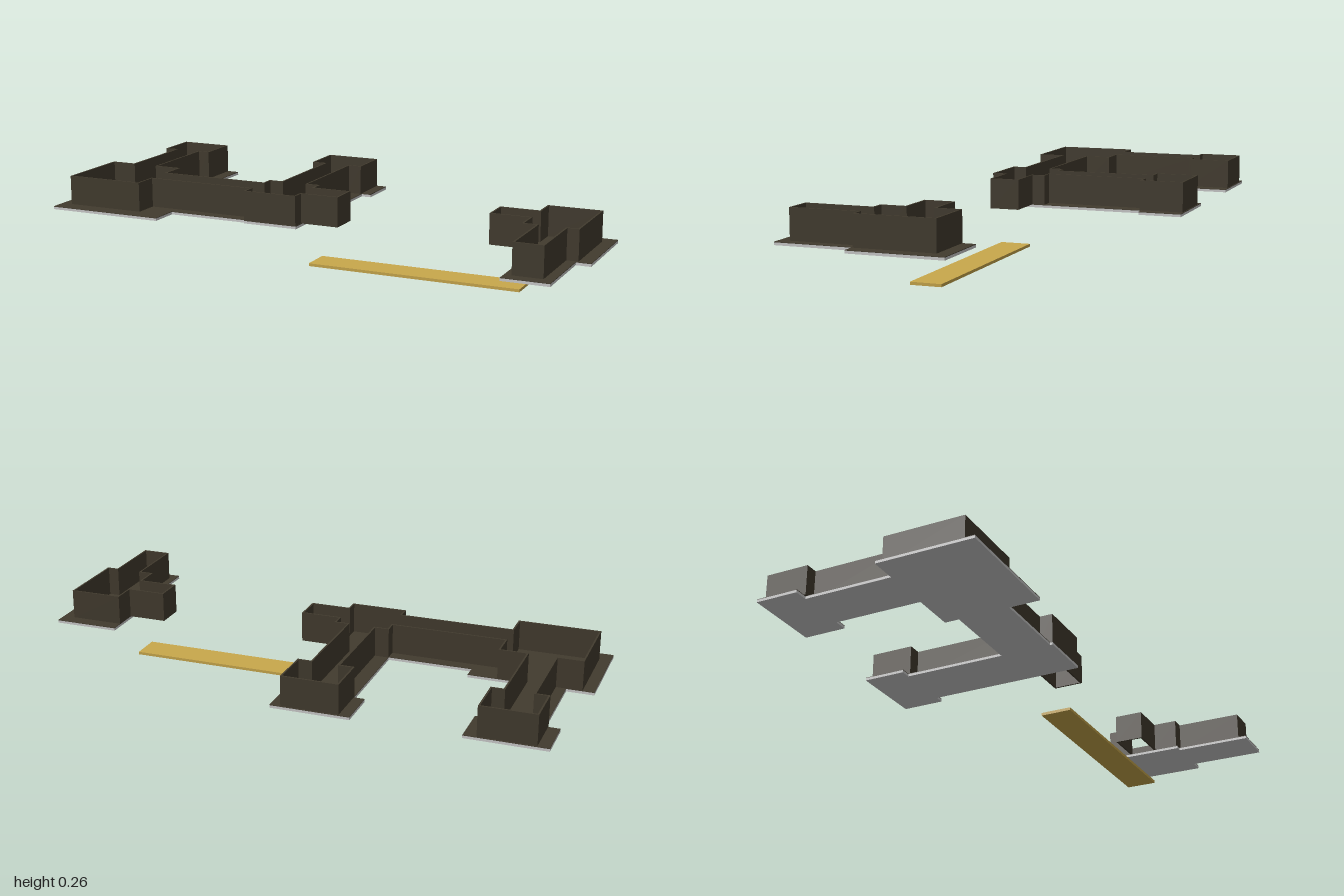
import * as THREE from 'three';

const FLOOR_Y = 0.15, WALL_H = 0.107, T = 0.006;

function material(name, color, side = THREE.FrontSide) {
  const m = new THREE.MeshStandardMaterial({ color, side });
  m.name = name;
  return m;
}

export function createModel() {
  const model = new THREE.Group();
  model.name = 'floorPlan';
  const dark = material('darkBrown', 0x423b2e);
  const grey = material('lightGrey', 0xcccccc);
  const gold = material('gold', 0xc9a84c);

  // Box given by its limits on each axis
  function box(parent, name, mat, x0, x1, y0, y1, z0, z1) {
    const mesh = new THREE.Mesh(new THREE.BoxGeometry(x1 - x0, y1 - y0, z1 - z0), mat);
    mesh.position.set((x0 + x1) / 2, (y0 + y1) / 2, (z0 + z1) / 2);
    mesh.name = name;
    parent.add(mesh);
  }

  // Flat plate extruded upward from a plan outline of [x, z] points
  function plate(name, mat, outline, y0, y1) {
    const shape = new THREE.Shape(outline.map(([x, z]) => new THREE.Vector2(x, -z)));
    const geo = new THREE.ExtrudeGeometry(shape, { depth: y1 - y0, bevelEnabled: false });
    geo.rotateX(-Math.PI / 2);
    const mesh = new THREE.Mesh(geo, mat);
    mesh.position.y = y0;
    mesh.name = name;
    model.add(mesh);
  }

  // Four-sided enclosure. Each side may be a [from, to] doorway, or 'open' for no wall.
  function room(name, x0, x1, z0, z1, { back, front, left, right } = {}) {
    const group = new THREE.Group();
    group.name = name;
    model.add(group);
    const pieces = (gap, a, b) => {
      if (gap === 'open') return [];
      return gap ? [[a, gap[0] + T], [gap[1] - T, b]] : [[a, b]];
    };
    const y0 = FLOOR_Y, y1 = FLOOR_Y + WALL_H;
    for (const [a, b] of pieces(back, x0, x1)) box(group, 'backWall', dark, a, b, y0, y1, z0, z0 + T);
    for (const [a, b] of pieces(front, x0, x1)) box(group, 'frontWall', dark, a, b, y0, y1, z1 - T, z1);
    for (const [a, b] of pieces(left, z0, z1)) box(group, 'leftWall', dark, x1 - T, x1, y0, y1, a, b);
    for (const [a, b] of pieces(right, z0, z1)) box(group, 'rightWall', dark, x0, x0 + T, y0, y1, a, b);
  }

  // Foundation slabs with a dark floor surface
  const westOutline = [
    [-1, 0.3], [-0.565, 0.3], [-0.565, 0.19], [-0.265, 0.19], [-0.265, 0.2], [-0.062, 0.2],
    [-0.062, -0.365], [-0.027, -0.365], [-0.027, -0.517], [-0.303, -0.517], [-0.303, -0.365],
    [-0.265, -0.365], [-0.265, 0.005], [-0.565, 0.005], [-0.565, -0.047], [-0.725, -0.047],
    [-0.725, -0.365], [-0.677, -0.365], [-0.677, -0.517], [-0.955, -0.517], [-0.955, -0.365],
    [-0.905, -0.365], [-0.905, -0.047], [-1, -0.047],
  ];
  const eastOutline = [
    [0.766, 0.245], [0.79, 0.245], [0.79, 0.518], [0.95, 0.518], [0.95, 0.245],
    [1, 0.245], [1, -0.085], [0.766, -0.085],
  ];
  for (const [side, outline] of [['west', westOutline], ['east', eastOutline]]) {
    plate(side + 'Slab', grey, outline, 0.14, 0.149);
    plate(side + 'Floor', dark, outline, 0.149, 0.151);
  }

  // Doorway spans shared by rooms and the corridors that meet them
  const doorZ = [0.046, 0.152], doorW = [-0.87, -0.765], doorM = [-0.215, -0.112], doorE = [0.815, 0.917];
  const alongX = { left: 'open', right: 'open' }, alongZ = { back: 'open', front: 'open' };

  // West wing
  room('mainRoom', -0.96, -0.668, -0.047, 0.243, { back: doorW, left: doorZ });
  room('westCorridor', ...doorW, -0.362, -0.047, alongZ);
  room('westBackRoom', -0.915, -0.722, -0.514, -0.358, { front: doorW });
  room('crossCorridor', -0.668, -0.265, ...doorZ, alongX);

  // Middle wing
  room('middleRoom', -0.265, -0.064, 0, 0.199, { back: doorM, left: doorZ, right: doorZ });
  room('middleCorridor', ...doorM, -0.362, 0, alongZ);
  room('middleBackRoom', -0.265, -0.064, -0.514, -0.358, { front: doorM });
  room('middleStub', -0.064, 0.076, ...doorZ, { right: 'open' });

  // East wing
  room('eastRoom', 0.766, 0.957, -0.04, 0.24, { right: doorZ, front: doorE });
  room('eastCorridor', ...doorE, 0.24, 0.48, { back: 'open' });
  room('eastStub', 0.627, 0.766, ...doorZ, { left: 'open' });

  // Low walkway linking the wings
  box(model, 'walkway', gold, -0.034, 0.738, 0, 0.01, 0.045, 0.155);

  return model;
}
